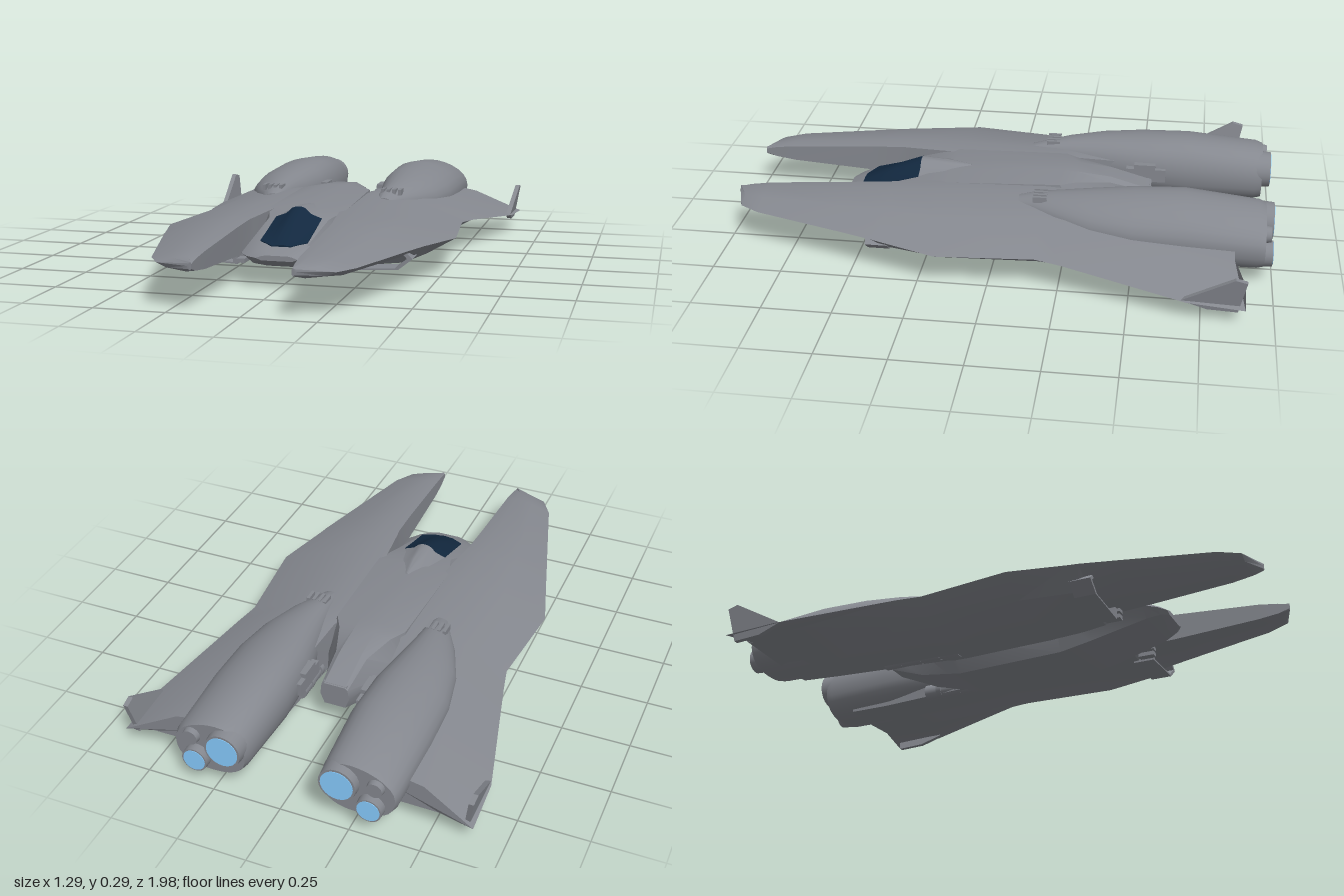
import * as THREE from 'three';
import { toCreasedNormals } from 'three/addons/utils/BufferGeometryUtils.js';

const hullGrey = new THREE.MeshStandardMaterial({ color: 0x85888f });
const glass = new THREE.MeshStandardMaterial({ color: 0x12283f });
const glow = new THREE.MeshStandardMaterial({ color: 0x88ccff });

function add(parent, name, geometry, material = hullGrey) {
  const mesh = new THREE.Mesh(geometry, material);
  mesh.name = name;
  parent.add(mesh);
  return mesh;
}

// Skin over closed cross-sections [z, [[x, y], ...]] running front to back
function loft(sections, crease = 0.5) {
  const n = sections[0][1].length;
  const pos = [], idx = [];
  const flip = THREE.ShapeUtils.area(sections[1][1].map(([x, y]) => ({ x, y }))) < 0;
  for (const [z, ring] of sections) {
    const pts = flip ? [...ring].reverse() : ring;
    for (const [x, y] of pts) pos.push(x, y, z);
  }
  for (let i = 0; i < sections.length - 1; i++) {
    for (let j = 0; j < n; j++) {
      const a = i * n + j, b = i * n + (j + 1) % n, c = b + n, d = a + n;
      idx.push(a, d, b, b, d, c);
    }
  }
  // End caps
  for (const s of [0, sections.length - 1]) {
    const [z, ring] = sections[s], centre = pos.length / 3;
    pos.push(ring.reduce((t, p) => t + p[0], 0) / n, ring.reduce((t, p) => t + p[1], 0) / n, z);
    for (let j = 0; j < n; j++) {
      const a = s * n + j, b = s * n + (j + 1) % n;
      if (s === 0) idx.push(centre, a, b); else idx.push(centre, b, a);
    }
  }
  const g = new THREE.BufferGeometry();
  g.setAttribute('position', new THREE.Float32BufferAttribute(pos, 3));
  g.setIndex(idx);
  return toCreasedNormals(g, crease);
}

// Mirror the right half of a section, given from bottom to top
const symmetric = half => [...half, ...[...half].reverse().map(([x, y]) => [-x, y])];

function box(parent, name, w, h, d, x, y, z) {
  add(parent, name, new THREE.BoxGeometry(w, h, d)).position.set(x, y, z);
}

function tube(parent, name, rFront, rBack, length, x, y, z, material = hullGrey) {
  const g = new THREE.CylinderGeometry(rFront, rBack, length, 24);
  g.rotateX(Math.PI / 2);
  add(parent, name, g, material).position.set(x, y, z);
}

// Hull section: flat inner wall, crown, sloping shoulder, sharp wing edge, keel
function hullSection([z, inner, edge, top, edgeY, outerLow, keel]) {
  const at = k => inner + (edge - inner) * k;
  return [z, [
    [inner, keel + .005], [inner, top - .006], [at(.2), top],
    [at(.6), edgeY + (top - edgeY) * .7], [edge, edgeY],
    [at(.75), outerLow], [at(.25), keel],
  ]];
}

// Nacelle section: round top leaning inwards, squarer belly
function nacelleSection([z, xc, halfWidth, top, bottom]) {
  return [z, Array.from({ length: 28 }, (_, i) => {
    const a = i / 28 * Math.PI * 2, c = Math.cos(a), s = Math.sin(a);
    const power = s > 0 ? 1 : .8;
    return [
      xc + halfWidth * (Math.sign(c) * Math.abs(c) ** power - .2 * Math.max(s, 0) ** 2),
      (top + bottom) / 2 + (top - bottom) / 2 * Math.sign(s) * Math.abs(s) ** power,
    ];
  })];
}

function buildSide() {
  const side = new THREE.Group();

  // Forked hull and wing: z, inner x, edge x, top y, edge y, outer low y, keel y
  const hull = loft([
    [.985, .165, .18, .165, .152, .142, .138],
    [.945, .163, .3, .175, .15, .135, .125],
    [.87, .16, .345, .185, .15, .125, .115],
    [.55, .155, .437, .207, .145, .108, .095],
    [.42, .15, .475, .215, .142, .1, .09],
    [.39, .145, .483, .216, .14, .075, .055],
    [.18, .12, .545, .222, .13, .068, .042],
    [-.17, .1, .51, .226, .125, .06, .042],
    [-.26, .13, .53, .223, .12, .065, .043],
    [-.7, .17, .637, .19, .072, .095, .045],
    [-.86, .18, .645, .18, .06, .09, .05],
  ].map(hullSection));
  // Sweep the trailing edge back towards the tip
  const hp = hull.attributes.position;
  for (let i = 0; i < hp.count; i++) {
    if (hp.getZ(i) < -.85 && hp.getX(i) > .5) hp.setZ(i, -.9);
  }
  add(side, 'wingHull', hull);

  // Engine nacelle: z, centre x, half width, top, bottom
  add(side, 'engineNacelle', loft([
    [-.08, .225, .03, .222, .18],
    [-.14, .232, .052, .238, .15],
    [-.22, .25, .08, .252, .12],
    [-.35, .265, .118, .268, .08],
    [-.5, .266, .144, .28, .06],
    [-.68, .265, .149, .286, .048],
    [-.94, .27, .138, .262, .05],
    [-.965, .27, .13, .252, .055],
  ].map(nacelleSection), .7));

  // Paired exhausts
  for (const [x, y, r] of [[.208, .178, .066], [.318, .105, .046]]) {
    tube(side, 'nozzle', r * 1.08, r, .06, x, y, -.965);
    tube(side, 'exhaustGlow', r * .88, r * .88, .004, x, y, -.995, glow);
  }
  tube(side, 'vernierNozzle', .034, .028, .04, .335, .19, -.965);

  // Slots at the front of the nacelle
  for (let i = 0; i < 4; i++) box(side, 'nacelleSlot', .012, .022, .05, .205 + i * .022, .236, -.16);

  // Inner equipment between nacelle and spine
  box(side, 'nacelleHatch', .05, .05, .15, .13, .17, -.525);
  box(side, 'hatchCover', .03, .025, .08, .12, .2, -.52);
  tube(side, 'serviceDuct', .026, .03, .36, .165, .07, -.32);
  for (let i = 0; i < 4; i++) tube(side, 'ductCollar', .034, .034, .02, .165, .075, -.2 - i * .08);

  // Air intake frame tucked below the prong
  const outline = k => [[.19, .05], [.39, .06], [.44, .1], [.4, .14], [.19, .13]]
    .map(([x, y]) => new THREE.Vector2(.31 + (x - .31) * k, .095 + (y - .095) * k));
  const frame = new THREE.Shape(outline(1));
  frame.holes.push(new THREE.Path(outline(.86).reverse()));
  add(side, 'intakeFrame', new THREE.ExtrudeGeometry(frame, { depth: .08, bevelEnabled: false }))
    .position.z = .37;
  for (let i = 0; i < 3; i++) box(side, 'intakeRib', .03, .015, .06, .175, .065 + i * .025, .43);

  // Winglet on the wing tip, drawn in side profile (z, y)
  const fin = new THREE.Shape([[-.68, .075], [-.86, .175], [-.9, .165], [-.875, .04], [-.77, .045]]
    .map(([z, y]) => new THREE.Vector2(-z, y)));
  const finGeo = new THREE.ExtrudeGeometry(fin, { depth: .018, bevelEnabled: false });
  finGeo.rotateY(Math.PI / 2);
  // Lean the blade outwards with height
  const p = finGeo.attributes.position;
  for (let i = 0; i < p.count; i++) p.setX(i, p.getX(i) + .606 + (p.getY(i) - .04) * .16);
  finGeo.computeVertexNormals();
  add(side, 'winglet', finGeo);

  return side;
}

export function createModel() {
  const model = new THREE.Group();
  model.name = 'starfighter';

  // Fuselage: z, floor half width, floor y, waist half width, shoulder half width, shoulder y, crown y
  add(model, 'fuselage', loft([
    [.6, .055, .1, .075, .055, .115, .118],
    [.575, .085, .09, .115, .075, .125, .128],
    [.53, .105, .075, .148, .088, .143, .145],
    [.32, .12, .022, .162, .11, .2, .208],
    [.2, .12, 0, .162, .145, .217, .221],
    [-.22, .1, 0, .15, .135, .23, .245],
    [-.28, .085, .015, .145, .1, .228, .242],
    [-.4, .065, .04, .095, .06, .215, .23],
    [-.55, .04, .1, .055, .05, .18, .188],
  ].map(([z, floorW, floorY, waistW, topW, topY, crown]) =>
    [z, symmetric([[floorW, floorY], [waistW, floorY + (topY - floorY) * .5], [topW, topY], [.04, crown]])])));

  // Canopy glass and the fairing behind it: z, half width, edge height, crown height
  const dome = rows => loft(rows.map(([z, w, edge, crown]) => [z, symmetric([
    [w, edge - .02], [w, edge], [w * .55, edge + (crown - edge) * .35], [w * .3, crown - (crown - edge) * .15],
    [w * .12, crown],
  ])]));
  add(model, 'canopy', dome([
    [.545, .035, .143, .146],
    [.51, .085, .152, .162],
    [.42, .085, .176, .205],
    [.32, .085, .204, .244],
  ]), glass);
  add(model, 'canopyFairing', dome([
    [.32, .084, .203, .243],
    [.22, .06, .216, .238],
    [.13, .015, .221, .227],
  ]));

  // Tail spine cap and belly panel
  box(model, 'spineCap', .09, .03, .06, 0, .175, -.515);
  box(model, 'bellyPanel', .12, .01, .36, 0, .005, 0);

  // Both sides
  for (const [name, s] of [['leftSide', 1], ['rightSide', -1]]) {
    const side = buildSide();
    side.name = name;
    side.scale.x = s;
    model.add(side);
  }
  return model;
}
